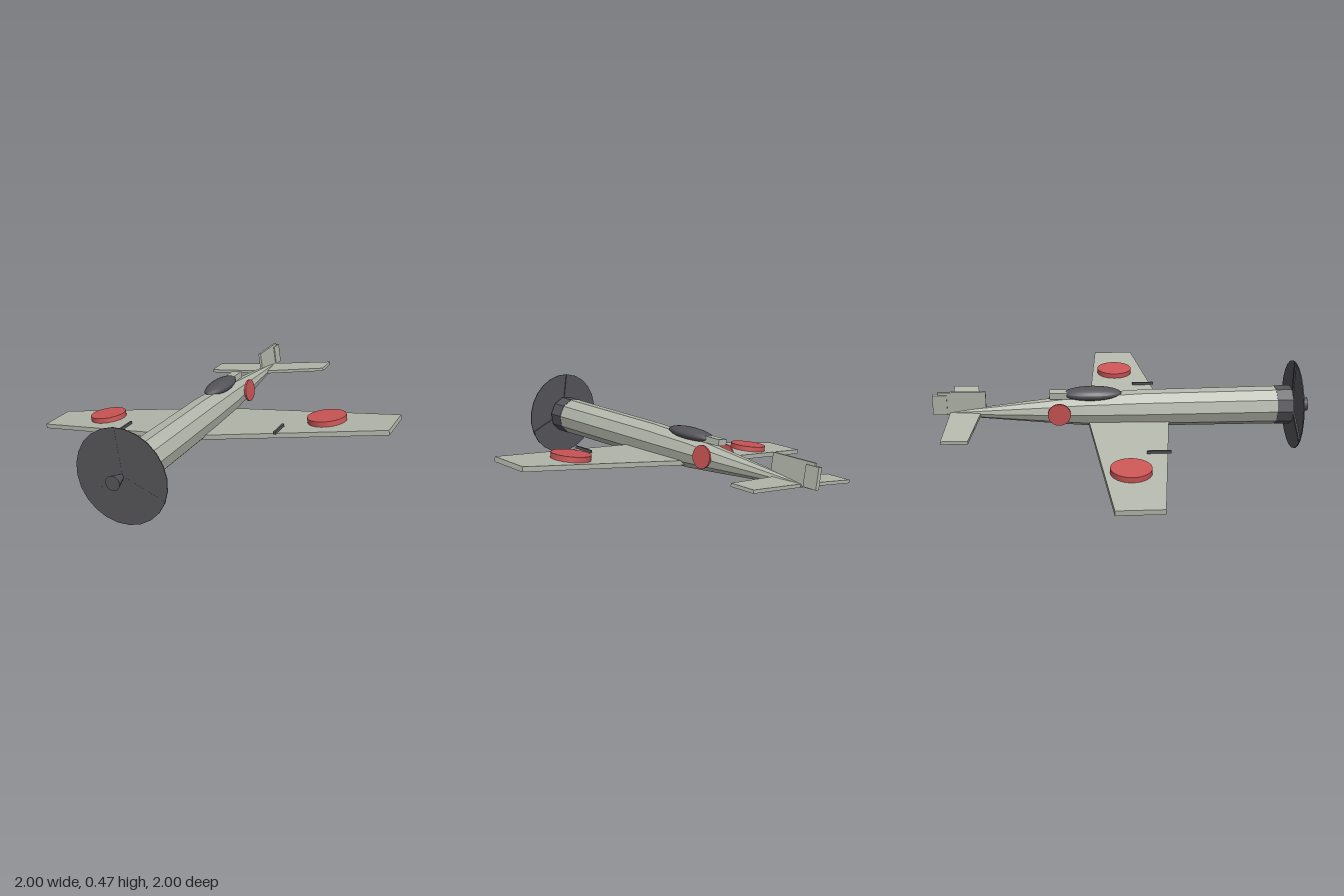
import * as THREE from 'three';
import { toCreasedNormals } from 'three/addons/utils/BufferGeometryUtils.js';

export function createModel() {
  const paint = new THREE.MeshStandardMaterial({ color: 0xb4b8ac });
  paint.name = 'grey green paint';
  const dark = new THREE.MeshStandardMaterial({ color: 0x545459 });
  dark.name = 'dark metal';
  const red = new THREE.MeshStandardMaterial({ color: 0xcc5555 });
  red.name = 'red paint';

  // The whole aircraft is banked around its fuselage axis
  const plane = new THREE.Group();
  plane.name = 'bankedAircraft';
  plane.position.set(-0.012, 0.245, 0);
  plane.rotation.z = 0.158;

  const add = (name, geo, mat, x = 0, y = 0, z = 0) => {
    const mesh = new THREE.Mesh(toCreasedNormals(geo, 0.3), mat);
    mesh.name = name;
    mesh.position.set(x, y, z);
    plane.add(mesh);
    return mesh;
  };
  const box = (name, mat, w, h, d, x, y, z) =>
    add(name, new THREE.BoxGeometry(w, h, d), mat, x, y, z);
  // Cylinder along z
  const rod = (name, mat, rFront, rBack, length, sides, z) =>
    add(name, new THREE.CylinderGeometry(rBack, rFront, length, sides, 1, false, Math.PI / 2)
      .rotateX(-Math.PI / 2), mat, 0, 0, z);
  // Flat symmetric surface: root and tip edges given as z values
  const surface = (name, span, rootFront, rootBack, tipFront, tipBack, thick, y) => {
    const shape = new THREE.Shape([
      [0, rootBack], [span, tipBack], [span, tipFront],
      [0, rootFront], [-span, tipFront], [-span, tipBack],
    ].map(([x, z]) => new THREE.Vector2(x, z)));
    const geo = new THREE.ExtrudeGeometry(shape, { depth: thick, bevelEnabled: false });
    geo.rotateX(Math.PI / 2);
    add(name, geo, paint, 0, y + thick / 2, 0);
  };

  // Ten-sided fuselage: z, radius, centre height
  const sections = [
    [0.83, 0.102, 0], [0.1, 0.097, -0.004], [-0.2, 0.085, -0.008],
    [-0.4, 0.064, -0.012], [-0.75, 0.028, -0.016], [-0.915, 0.009, -0.018],
  ];
  const rows = sections.length - 1;
  const body = new THREE.CylinderGeometry(1, 1, 1, 10, rows, false, Math.PI / 2);
  body.rotateX(Math.PI / 2);
  const p = body.attributes.position;
  for (let i = 0; i < p.count; i++) {
    const [z, r, cy] = sections[Math.round((0.5 - p.getZ(i)) * rows)];
    p.setXYZ(i, p.getX(i) * r, p.getY(i) * r + cy, z);
  }
  add('fuselage', body, paint);

  // Nose: cowling, shaft, propeller disc with three blades, flared spinner
  rod('cowling', dark, 0.104, 0.104, 0.085, 10, 0.863);
  rod('propellerShaft', dark, 0.015, 0.015, 0.04, 12, 0.915);
  rod('propellerDisc', dark, 0.238, 0.238, 0.005, 24, 0.924);
  rod('spinner', dark, 0.037, 0.014, 0.074, 20, 0.963);
  for (let i = 0; i < 3; i++) {
    const geo = new THREE.BoxGeometry(0.02, 0.235, 0.012);
    geo.translate(0, 0.1175, 0);
    add('propellerBlade', geo, dark, 0, 0, 0.921).rotation.z = i * Math.PI * 2 / 3;
  }

  // Wing and tail surfaces
  surface('wing', 1.01, 0.252, -0.186, 0.122, -0.104, 0.025, -0.066);
  surface('tailplane', 0.364, -0.748, -0.91, -0.79, -0.925, 0.017, -0.019);
  box('fin', paint, 0.014, 0.125, 0.25, 0, 0.04, -0.847);
  box('rudder', paint, 0.024, 0.108, 0.075, 0, 0.034, -0.9625);

  // Canopy and the fairing behind it
  const canopy = new THREE.SphereGeometry(1, 24, 16);
  canopy.scale(0.064, 0.035, 0.155);
  add('canopy', canopy, dark, 0, 0.083, -0.162);
  box('canopyFairing', paint, 0.058, 0.034, 0.13, 0, 0.08, -0.322);

  // Mirrored wing guns and round markings
  for (const s of [1, -1]) {
    box('wingGun', dark, 0.012, 0.014, 0.12, s * 0.453, -0.047, 0.15);
    add('wingRoundel', new THREE.CylinderGeometry(0.1, 0.1, 0.03, 32), red, s * 0.657, -0.041, -0.004);
    const side = new THREE.CylinderGeometry(0.06, 0.06, 0.01, 32);
    side.rotateZ(Math.PI / 2);
    add('fuselageRoundel', side, red, s * 0.087, 0, -0.337);
  }

  const model = new THREE.Group();
  model.name = 'propellerAircraft';
  model.add(plane);
  return model;
}
